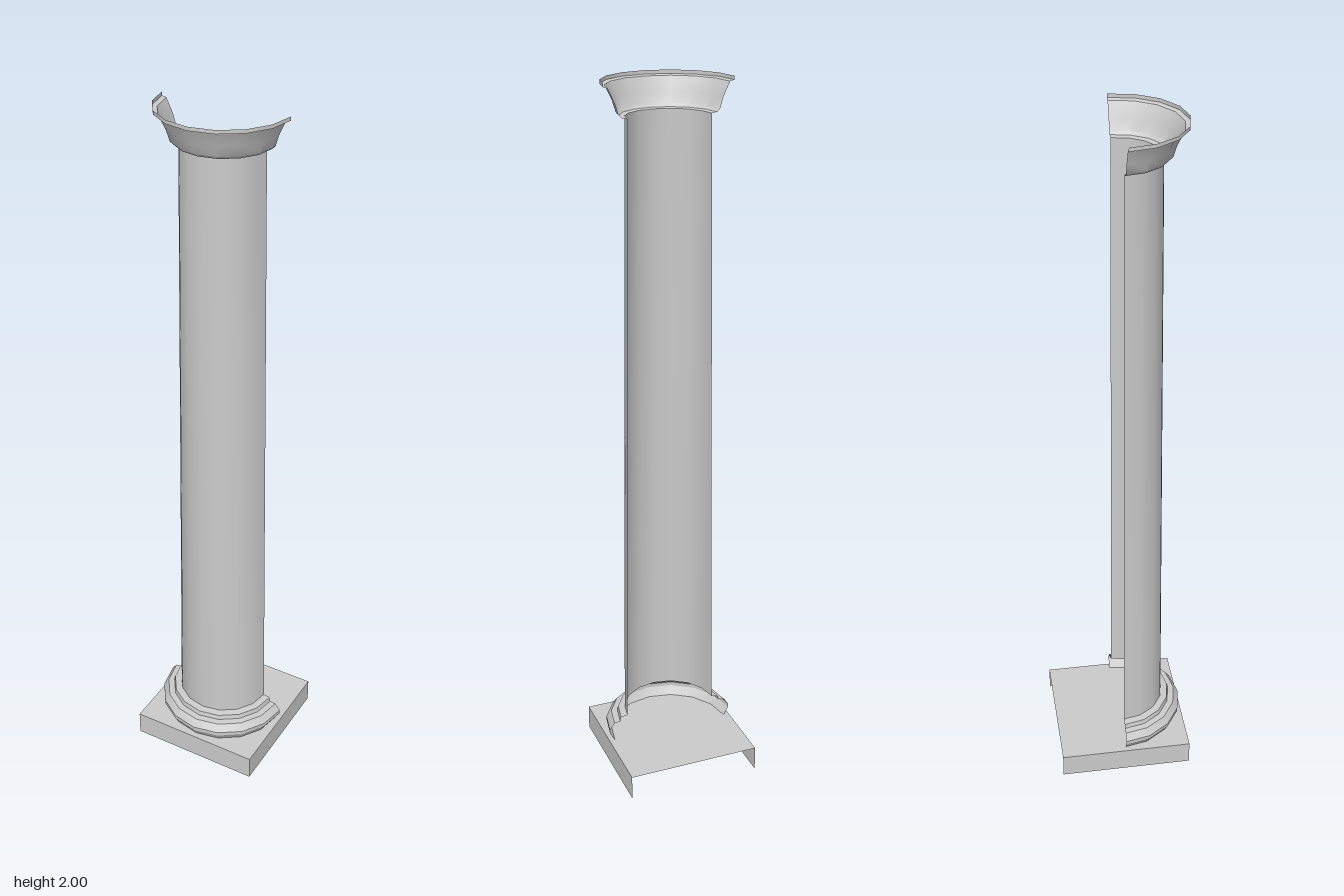
import * as THREE from 'three';
import { toCreasedNormals } from 'three/addons/utils/BufferGeometryUtils.js';

const material = new THREE.MeshStandardMaterial({ color: 0xcccccc, side: THREE.DoubleSide });

// Half-round shell: profile of [radius, height], swept round the front (+z) side
function halfShell(name, profile) {
  const points = profile.map(([r, y]) => new THREE.Vector2(r, y));
  const geometry = new THREE.LatheGeometry(points, 8, -Math.PI / 2, Math.PI);
  const mesh = new THREE.Mesh(toCreasedNormals(geometry, 0.5), material);
  mesh.name = name;
  return mesh;
}

// One flat slab of the plinth, moved and turned into place
function panel(name, w, h, position, rx, ry) {
  const mesh = new THREE.Mesh(new THREE.PlaneGeometry(w, h), material);
  mesh.name = name;
  mesh.position.set(...position);
  mesh.rotation.set(rx, ry, 0);
  return mesh;
}

export function createModel() {
  const column = new THREE.Group();
  column.name = 'halfColumn';

  // Square plinth, open underneath and at the back
  const half = 0.195, height = 0.073;
  const plinth = new THREE.Group();
  plinth.name = 'plinth';
  plinth.add(panel('plinthTop', 2 * half, 2 * half, [0, height, 0], -Math.PI / 2, 0));
  plinth.add(panel('plinthFront', 2 * half, height, [0, height / 2, half], 0, 0));
  for (const side of [-1, 1]) {
    plinth.add(panel(side > 0 ? 'plinthLeft' : 'plinthRight', 2 * half, height,
      [side * half, height / 2, 0], 0, side * Math.PI / 2));
  }
  column.add(plinth);

  // Moulded base: bulging ring with a smaller fillet above
  column.add(halfShell('baseMoulding', [
    [0.178, height], [0.193, 0.098], [0.193, 0.11], [0.178, 0.131],
    [0.16, 0.133], [0.157, 0.147], [0.137, 0.15],
  ]));

  // Tapering shaft
  column.add(halfShell('shaft', [[0.137, 0.15], [0.126, 1.03], [0.115, 1.91]]));

  // Flared capital with a thin rim
  column.add(halfShell('capital', [
    [0.115, 1.91], [0.13, 1.912], [0.138, 1.92], [0.147, 1.95],
    [0.165, 1.987], [0.177, 1.99], [0.177, 2],
  ]));

  return column;
}
